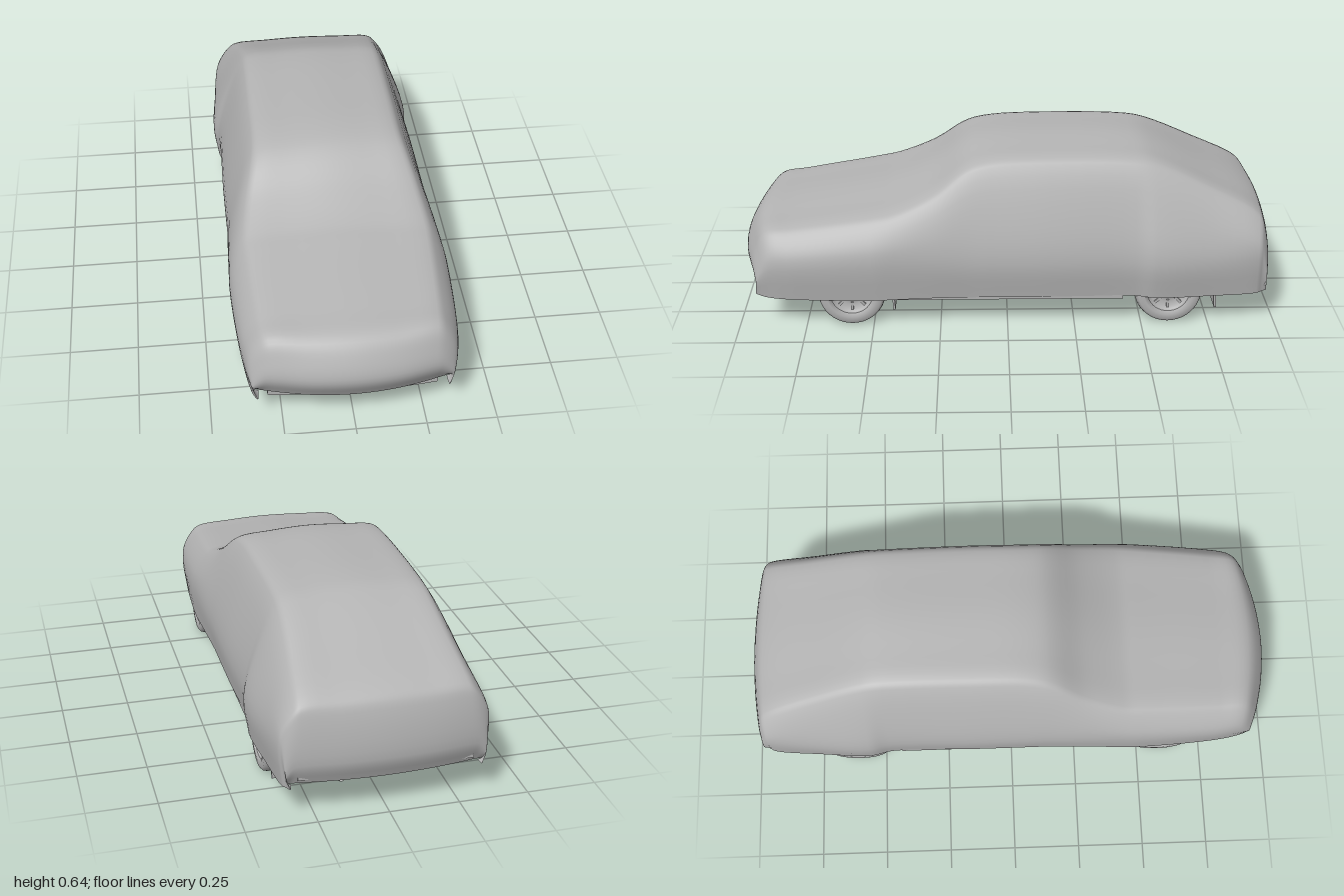
import * as THREE from 'three';

const grey = new THREE.MeshStandardMaterial({ color: 0xb4b4b4 });
grey.name = 'cover grey';
grey.side = THREE.DoubleSide;

// Cover stations, nose to tail: z, hem y, top y, crown, top half-width, side half-width, corner sweep
const stations = [
  [0.96, 0.125, 0.13, 0, 0.30, 0.345, 0.06],
  [1.0, 0.12, 0.22, 0.005, 0.31, 0.35, 0.06],
  [0.975, 0.115, 0.30, 0.01, 0.315, 0.36, 0.05],
  [0.925, 0.11, 0.36, 0.007, 0.322, 0.37, 0.035],
  [0.8, 0.108, 0.385, 0.015, 0.332, 0.385, 0.01],
  [0.5, 0.11, 0.435, 0.02, 0.347, 0.402, 0],
  [0.42, 0.112, 0.452, 0.02, 0.347, 0.40, 0],
  [0.28, 0.115, 0.52, 0.025, 0.325, 0.395, 0],
  [0.15, 0.115, 0.607, 0.02, 0.292, 0.39, 0],
  [0.06, 0.115, 0.63, 0.018, 0.282, 0.39, 0],
  [-0.15, 0.115, 0.64, 0.018, 0.28, 0.39, 0],
  [-0.47, 0.115, 0.634, 0.018, 0.278, 0.387, 0],
  [-0.55, 0.113, 0.615, 0.015, 0.28, 0.403, 0],
  [-0.75, 0.113, 0.522, 0.01, 0.297, 0.39, 0],
  [-0.94, 0.115, 0.425, 0.01, 0.32, 0.372, -0.01],
  [-0.97, 0.117, 0.38, 0.008, 0.325, 0.362, -0.02],
  [-1.0, 0.12, 0.21, 0.003, 0.325, 0.352, -0.03],
  [-0.975, 0.125, 0.13, 0, 0.32, 0.345, -0.03],
];

// Control points of one section, left hem over the top to right hem
function section([z, yb, yc, crown, wt, wm, sweep]) {
  const h = yc - yb, k = Math.min(1, h / 0.3), ye = yc - crown;
  const ym = yb + Math.min(0.14, 0.45 * h), yk = ye - 0.022 * k;
  const half = [
    [wm - 0.015, yb],
    [wm, ym],
    [(wm + wt) / 2 + 0.016 * k, (ym + yk) / 2],
    [wt, yk],
    [wt - 0.03, ye],
    [wt * 0.5, ye + crown * 0.6],
  ];
  const all = [...half, [0, yc], ...half.map(([x, y]) => [-x, y]).reverse()];
  return all.map(([x, y]) => new THREE.Vector3(x, y, z - sweep * (x / 0.33) ** 2));
}

// Smooth skin through all sections
function coverGeometry() {
  const rows = stations.map(section);
  const lines = rows[0].map((_, j) => new THREE.CatmullRomCurve3(rows.map(r => r[j])));
  const nu = (rows.length - 1) * 5, nv = (lines.length - 1) * 4;
  const pos = [], idx = [];
  for (let i = 0; i <= nu; i++) {
    const ring = new THREE.CatmullRomCurve3(lines.map(l => l.getPoint(i / nu)));
    for (let j = 0; j <= nv; j++) pos.push(...ring.getPoint(j / nv).toArray());
  }
  for (let i = 0; i < nu; i++) for (let j = 0; j < nv; j++) {
    const a = i * (nv + 1) + j, b = a + nv + 1;
    idx.push(a, b, a + 1, b, b + 1, a + 1);
  }
  const g = new THREE.BufferGeometry();
  g.setAttribute('position', new THREE.Float32BufferAttribute(pos, 3));
  g.setIndex(idx);
  g.computeVertexNormals();
  return g;
}

function add(parent, name, geometry, x = 0, y = 0, z = 0) {
  const m = new THREE.Mesh(geometry, grey);
  m.name = name;
  m.position.set(x, y, z);
  parent.add(m);
  return m;
}
const box = (parent, name, w, h, d, x, y, z) => add(parent, name, new THREE.BoxGeometry(w, h, d), x, y, z);
const pipe = (parent, name, r, ...pts) => add(parent, name,
  new THREE.TubeGeometry(new THREE.CatmullRomCurve3(pts.map(p => new THREE.Vector3(...p))), pts.length * 8, r, 10));

// Tyre and dished rim; outer face looks along +x
function wheel(name) {
  const g = new THREE.Group();
  g.name = name;
  const tyre = [[0.075, -0.036], [0.112, -0.036], [0.121, -0.028], [0.125, -0.015], [0.125, 0.015],
    [0.121, 0.028], [0.112, 0.036], [0.092, 0.038], [0.078, 0.032], [0.075, -0.036]];
  const rim = [[0.078, 0.032], [0.072, 0.03], [0.066, 0.015], [0.045, 0.02], [0.03, 0.012], [0.024, 0.028], [0, 0.03]];
  for (const [part, profile] of [['tyre', tyre], ['rim', rim]]) {
    const geo = new THREE.LatheGeometry(profile.map(p => new THREE.Vector2(...p)), 40);
    add(g, part, geo).rotation.z = -Math.PI / 2;
  }
  for (let i = 0; i < 8; i++) {
    const a = i * Math.PI / 4;
    box(g, 'rimRib', 0.01, 0.03, 0.01, 0.018, Math.cos(a) * 0.052, Math.sin(a) * 0.052).rotation.x = a;
  }
  add(g, 'brakeDrum', new THREE.CylinderGeometry(0.06, 0.06, 0.03, 24), -0.02).rotation.z = Math.PI / 2;
  return g;
}

export function createModel() {
  const car = new THREE.Group();
  car.name = 'coveredCar';
  add(car, 'fabricCover', coverGeometry());

  // Underbody pans
  const under = new THREE.Group();
  under.name = 'underbody';
  car.add(under);
  box(under, 'floorPan', 0.72, 0.012, 0.84, 0, 0.135, -0.01);
  box(under, 'rearFloor', 0.54, 0.012, 0.54, 0, 0.19, -0.69);
  box(under, 'tailPan', 0.62, 0.012, 0.16, 0, 0.15, -0.88);
  box(under, 'engineBayPan', 0.52, 0.012, 0.5, 0, 0.2, 0.66);
  box(under, 'rearBulkhead', 0.7, 0.07, 0.012, 0, 0.165, -0.42);
  box(under, 'frontBulkhead', 0.7, 0.08, 0.012, 0, 0.17, 0.405);
  box(under, 'frontCrossmember', 0.54, 0.03, 0.05, 0, 0.135, 0.58);
  box(under, 'radiatorBeam', 0.56, 0.03, 0.03, 0, 0.13, 0.82);
  box(under, 'sump', 0.14, 0.07, 0.2, 0, 0.16, 0.62);
  box(under, 'gearboxBeam', 0.3, 0.012, 0.05, 0, 0.122, 0.2);
  box(under, 'fuelTank', 0.26, 0.05, 0.16, -0.1, 0.165, -0.85);

  // Chin valance below the nose
  const chin = new THREE.Shape();
  chin.moveTo(-0.3, 0.13);
  chin.lineTo(-0.3, 0.1);
  chin.quadraticCurveTo(0, 0.062, 0.3, 0.1);
  chin.lineTo(0.3, 0.13);
  add(under, 'chinValance', new THREE.ExtrudeGeometry(chin, { depth: 0.08, bevelEnabled: false, curveSegments: 16 }), 0, 0, 0.82);

  // Driveline and exhaust
  pipe(under, 'propShaft', 0.013, [0, 0.14, 0.45], [0, 0.125, 0], [0, 0.13, -0.6]);
  pipe(under, 'exhaustPipe', 0.011, [0.08, 0.15, 0.55], [0.06, 0.122, 0.35], [0.05, 0.118, 0], [0.06, 0.12, -0.35],
    [0.1, 0.17, -0.6], [0.14, 0.14, -0.78], [0.16, 0.13, -0.96]);
  const silencers = [['frontSilencer', 0.05, 0.122, 0.02], ['rearSilencer', 0.14, 0.15, -0.78]];
  for (const [name, x, y, z] of silencers)
    add(under, name, new THREE.CylinderGeometry(0.026, 0.026, 0.18, 20), x, y, z).rotation.x = Math.PI / 2;
  add(under, 'rearAxle', new THREE.CylinderGeometry(0.018, 0.018, 0.62, 16), 0, 0.125, -0.6).rotation.z = Math.PI / 2;
  add(under, 'differential', new THREE.SphereGeometry(0.045, 20, 14), 0, 0.13, -0.6);
  pipe(under, 'antiRollBar', 0.008, [-0.27, 0.12, 0.58], [-0.24, 0.12, 0.74], [0.24, 0.12, 0.74], [0.27, 0.12, 0.58]);

  for (const s of [1, -1]) {
    const side = s > 0 ? 'left' : 'right';
    // Sills, rails and floor ribs
    box(under, side + 'Sill', 0.03, 0.035, 0.84, s * 0.355, 0.121, -0.01);
    box(under, side + 'ChassisRail', 0.035, 0.025, 0.75, s * 0.2, 0.125, 0.05);
    box(under, side + 'FrontRail', 0.035, 0.04, 0.45, s * 0.23, 0.16, 0.64);
    box(under, side + 'RearRail', 0.035, 0.04, 0.5, s * 0.24, 0.165, -0.68);
    for (const x of [0.1, 0.15, 0.27, 0.31])
      box(under, side + 'FloorRib', 0.012, 0.008, 0.4, s * x, 0.126, -0.1);
    // Suspension links
    pipe(under, side + 'TrailingLink', 0.01, [s * 0.24, 0.12, -0.6], [s * 0.26, 0.13, -0.38]);
    pipe(under, side + 'UpperLink', 0.008, [s * 0.08, 0.14, -0.42], [s * 0.2, 0.145, -0.6]);
    pipe(under, side + 'ControlArm', 0.013, [s * 0.1, 0.13, 0.56], [s * 0.31, 0.115, 0.58]);
    pipe(under, side + 'Damper', 0.016, [s * 0.25, 0.11, -0.64], [s * 0.25, 0.24, -0.66]);
    // Wheels with mud flaps behind
    for (const [end, z, flapZ] of [['Front', 0.58, 0.425], ['Rear', -0.6, -0.775]]) {
      const w = wheel(side + end + 'Wheel');
      w.position.set(s * 0.332, 0.125, z);
      if (s < 0) w.rotation.y = Math.PI;
      car.add(w);
      box(car, side + end + 'MudFlap', 0.12, 0.08, 0.008, s * 0.298, 0.097, flapZ).rotation.x = 0.06;
    }
  }
  return car;
}
